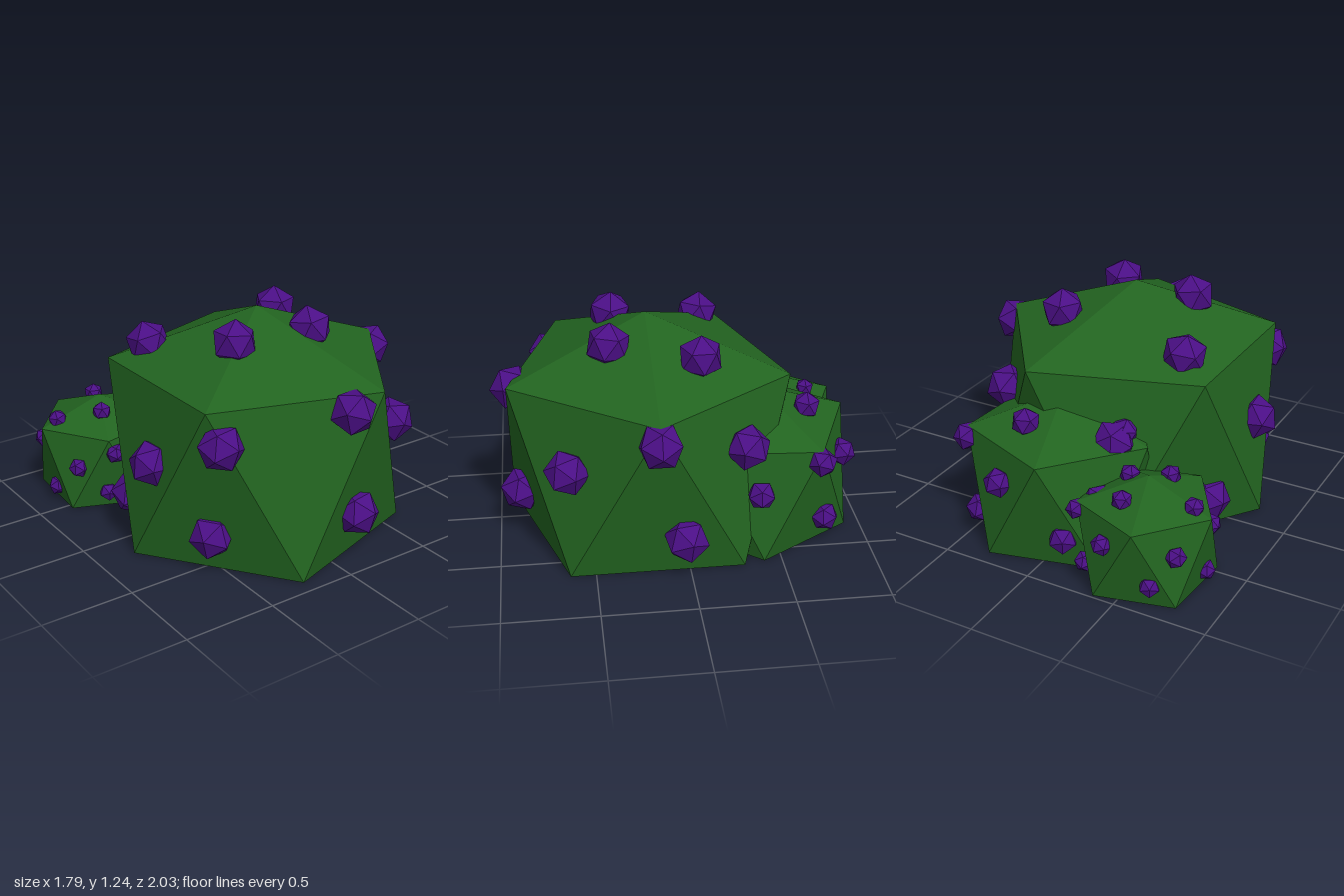
import * as THREE from 'three';

const green = new THREE.MeshStandardMaterial({ color: 0x226420, flatShading: true });
const purple = new THREE.MeshStandardMaterial({ color: 0x4b0f86, flatShading: true });

// Bush body: low apex, five-sided upper ring, half-step turned lower ring, flat base
function bushGeometry(radius, ringY, apexY) {
  const at = (step, y) => {
    const a = (step * Math.PI * 2) / 5;
    return [radius * Math.cos(a), y, radius * Math.sin(a)];
  };
  const pos = [];
  for (let k = 0; k < 5; k++) {
    const u0 = at(k, ringY), u1 = at(k + 1, ringY);
    const l0 = at(k + 0.5, 0), l1 = at(k + 1.5, 0);
    pos.push(...[0, apexY, 0], ...u1, ...u0); // roof
    pos.push(...u0, ...u1, ...l0); // side, pointing down
    pos.push(...l0, ...u1, ...l1); // side, pointing up
    pos.push(...[0, 0, 0], ...l0, ...l1); // base
  }
  const g = new THREE.BufferGeometry();
  g.setAttribute('position', new THREE.Float32BufferAttribute(pos, 3));
  g.computeVertexNormals();
  return g;
}

// Berry centres, relative to the middle of the bush base
const berrySpots = [
  // roof
  [-0.46, 1.01, -0.34], [0.31, 1.08, -0.26], [-0.26, 1.12, 0.17], [0.19, 1.12, 0.21],
  // upper sides
  [-0.58, 0.75, 0.51], [0.07, 0.85, 0.72], [0.79, 0.83, 0.0], [0.54, 0.66, -0.48],
  // middle
  [0.57, 0.59, 0.46], [-0.71, 0.53, 0.07], [-0.24, 0.61, -0.69],
  // lower sides
  [0.14, 0.26, 0.7], [0.71, 0.23, -0.14], [-0.55, 0.2, 0.38], [-0.61, 0.18, -0.3], [0.04, 0.26, -0.7],
];

const bodyGeometry = bushGeometry(0.79, 0.925, 1.22);
const berryGeometry = new THREE.IcosahedronGeometry(0.122, 0);

function makeBush(name, x, z, scale, turn) {
  const bush = new THREE.Group();
  bush.name = name;
  const body = new THREE.Mesh(bodyGeometry, green);
  body.name = 'foliage';
  bush.add(body);
  for (const p of berrySpots) {
    const berry = new THREE.Mesh(berryGeometry, purple);
    berry.name = 'berry';
    berry.position.set(...p);
    berry.lookAt(p[0] * 2, p[1] * 2 - 0.46, p[2] * 2); // face outward
    bush.add(berry);
  }
  bush.position.set(x, 0, z);
  bush.scale.setScalar(scale);
  bush.rotation.y = THREE.MathUtils.degToRad(turn);
  return bush;
}

export function createModel() {
  const model = new THREE.Group();
  model.name = 'berryBushes';
  model.add(
    makeBush('largeBush', 0, 0.17, 1, 0),
    makeBush('mediumBush', 0.1, -0.44, 0.65, 32),
    makeBush('smallBush', -0.51, -0.65, 0.458, 32)
  );
  return model;
}
